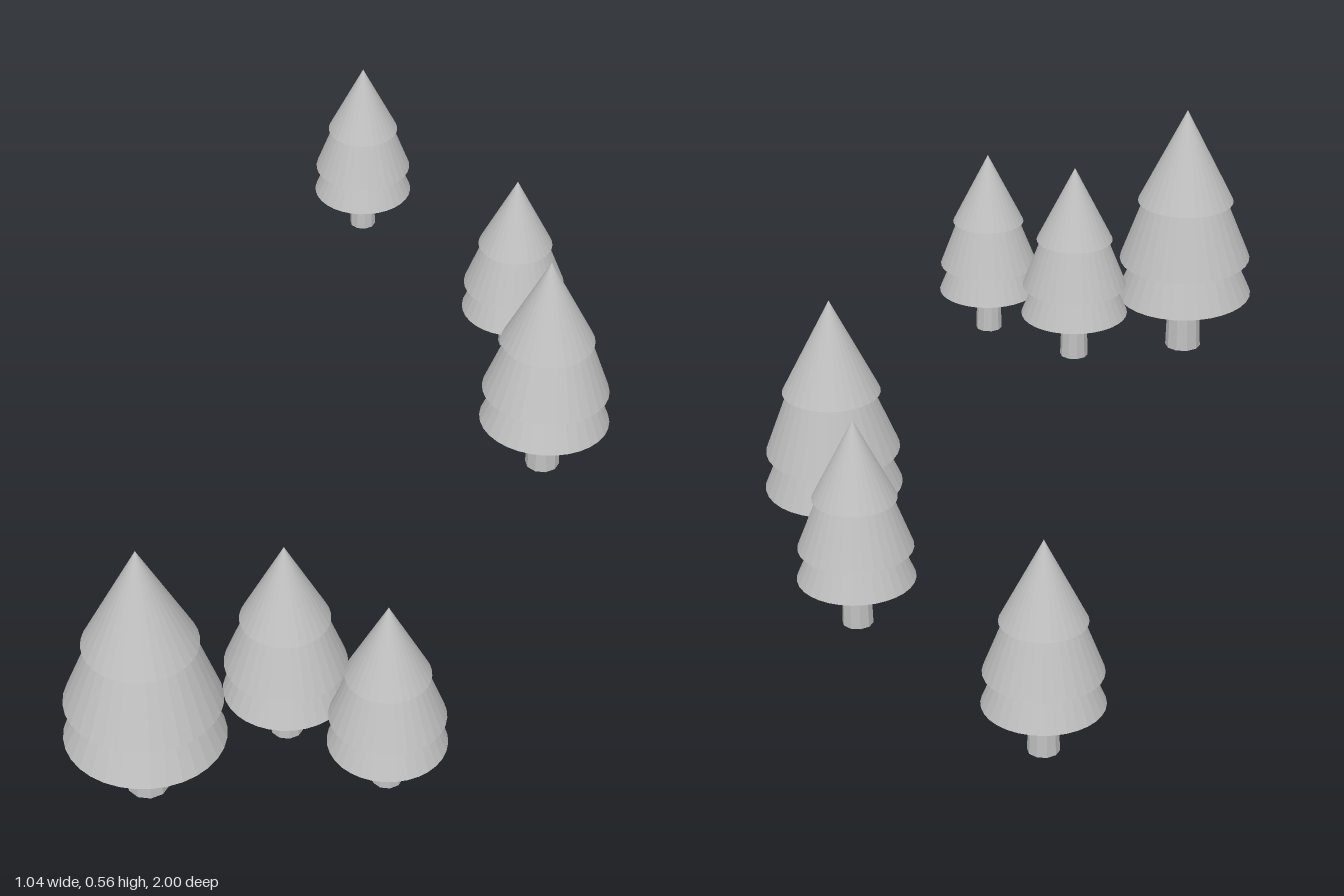
import * as THREE from 'three';

const grey = new THREE.MeshStandardMaterial({ color: 0xbfbfbf, flatShading: true });
grey.name = 'plainGrey';

// Parts of a tree of height 1: bottom height, part height, radii, sides
const PARTS = [
  { name: 'trunk', y: 0, h: 0.3, bottom: 0.07, top: 0.06, sides: 10 },
  { name: 'lowerFoliage', y: 0.23, h: 0.19, bottom: 0.265, top: 0.185, sides: 32 },
  { name: 'middleFoliage', y: 0.382, h: 0.27, bottom: 0.258, top: 0.155, sides: 32 },
  { name: 'topFoliage', y: 0.623, h: 0.377, bottom: 0.189, top: 0, sides: 32 },
];

// Position, base height, total height and slight forward/back lean of the middle tiers
const TREES = [
  { name: 'largeFrontTree', x: 0.01, z: 0.85, y: 0, h: 0.557, lean: -0.04 },
  { name: 'middleFrontTree', x: 0.185, z: 0.638, y: 0.033, h: 0.437, lean: -0.02 },
  { name: 'smallFrontTree', x: 0.41, z: 0.68, y: 0.041, h: 0.41, lean: -0.02 },
  { name: 'largeBackTree', x: 0.288, z: -0.305, y: 0.017, h: 0.501, lean: -0.06 },
  { name: 'middleBackTree', x: 0.075, z: -0.628, y: 0.041, h: 0.412, lean: 0 },
  { name: 'smallBackTree', x: -0.413, z: -0.893, y: 0.043, h: 0.404, lean: 0 },
];

function makeTree({ name, x, y, z, h, lean }) {
  const tree = new THREE.Group();
  tree.name = name;
  for (const p of PARTS) {
    const geometry = new THREE.CylinderGeometry(p.top, p.bottom, p.h, p.sides);
    geometry.translate(0, p.h / 2, 0);
    const mesh = new THREE.Mesh(geometry, grey);
    mesh.name = p.name;
    mesh.position.y = p.y;
    // Only the two lower tiers sit a little crooked
    if (p.name === 'lowerFoliage' || p.name === 'middleFoliage') mesh.rotation.x = lean;
    tree.add(mesh);
  }
  tree.position.set(x, y, z);
  tree.scale.setScalar(h);
  return tree;
}

export function createModel() {
  const model = new THREE.Group();
  model.name = 'pineTrees';
  for (const t of TREES) model.add(makeTree(t));
  return model;
}
